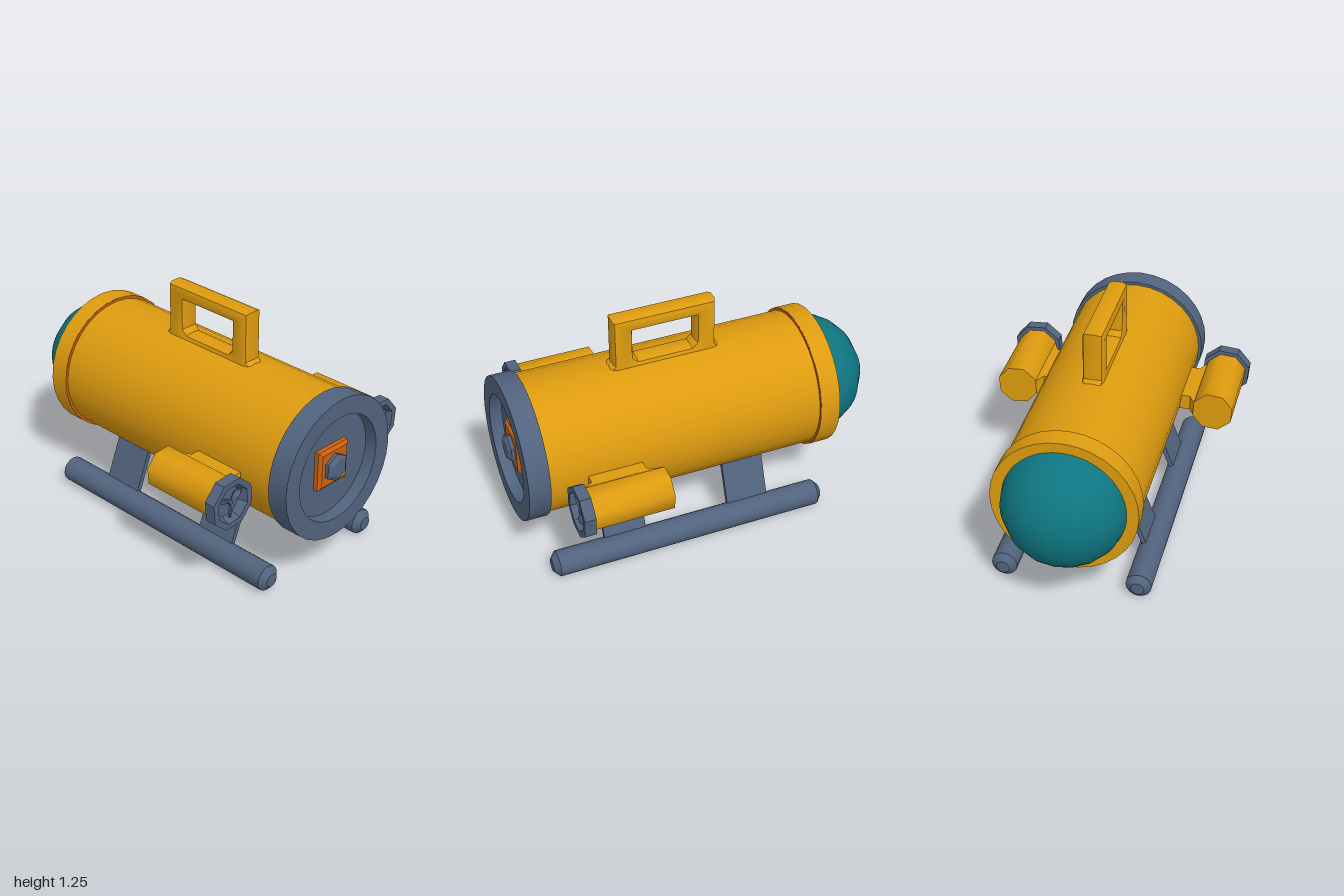
import * as THREE from 'three';
import { toCreasedNormals } from 'three/addons/utils/BufferGeometryUtils.js';

const mat = (name, color) => {
  const m = new THREE.MeshStandardMaterial({ color });
  m.name = name;
  return m;
};

// Solid turned around the x axis from [x, radius] points, with sharp edges kept
function turned(points, sides, phase = 0, crease = 0.5) {
  const g = new THREE.LatheGeometry(points.map(([x, r]) => new THREE.Vector2(r, x)), sides, phase);
  g.rotateZ(-Math.PI / 2);
  return toCreasedNormals(g, crease);
}

const polygon = (pts) => new THREE.Shape(pts.map(([x, y]) => new THREE.Vector2(x, y)));

export function createModel() {
  const model = new THREE.Group();
  model.name = 'submarine';
  const yellow = mat('hullYellow', 0xdd9b0f);
  const slate = mat('slateMetal', 0x51637e);
  const teal = mat('tealGlass', 0x0e7681);
  const orange = mat('hatchOrange', 0xcb620f);

  const add = (name, geometry, material, x = 0, y = 0, z = 0, parent = model) => {
    const mesh = new THREE.Mesh(geometry, material);
    mesh.name = name;
    mesh.position.set(x, y, z);
    parent.add(mesh);
    return mesh;
  };
  const axisY = 0.607;

  // Hull, window collar and dome
  add('hull', turned([[-0.65, 0], [-0.65, 0.367], [0.89, 0.367], [0.89, 0]], 32), yellow, 0, axisY);
  add('windowCollar', turned([[-0.72, 0], [-0.72, 0.382], [-0.612, 0.382], [-0.612, 0.36]], 32), yellow, 0, axisY);
  add('collarSeal', turned([[-0.612, 0.36], [-0.612, 0.381], [-0.609, 0.381], [-0.609, 0.36]], 32), orange, 0, axisY);
  add('domeWindow', new THREE.SphereGeometry(0.33, 16, 32), teal, -0.67, axisY);

  // Recessed rear cap with hatch plate and bolt
  add('rearCap', turned([[0.88, 0], [0.88, 0.384], [0.995, 0.384], [0.995, 0.287],
    [0.93, 0.285], [0.93, 0]], 32), slate, 0, axisY);
  add('hatchPlate', turned([[0.92, 0], [0.92, 0.152], [0.953, 0.152], [0.967, 0.128], [0.967, 0]],
    4, Math.PI / 4), orange, 0, axisY);
  const bolt = add('hatchBolt', turned([[0.95, 0], [0.95, 0.077], [0.985, 0.077], [1, 0.052], [1, 0]], 6),
    slate, 0, axisY);
  bolt.rotation.x = Math.PI / 2;

  // Carrying handle: a bevelled frame with feet flared into the hull
  const frame = polygon([[-0.17, 0.94], [0.435, 0.94], [0.435, 0.965], [0.41, 0.99],
    [0.41, 1.255], [-0.145, 1.255], [-0.145, 0.99], [-0.17, 0.965]]);
  frame.holes.push(polygon([[-0.04, 1.02], [-0.04, 1.18], [0.305, 1.18], [0.305, 1.02],
    [0.28, 0.995], [-0.015, 0.995]]));
  const handle = new THREE.ExtrudeGeometry(frame, {
    depth: 0.056, bevelEnabled: true, bevelThickness: 0.028, bevelSize: 0.028,
    bevelOffset: -0.028, bevelSegments: 2,
  });
  handle.translate(0, 0, -0.028);
  add('handle', toCreasedNormals(handle, 0.7), yellow);

  for (const s of [1, -1]) {
    const side = s > 0 ? 'left' : 'right';

    // Landing skid and its two splayed legs
    add(side + 'Skid', turned([[-0.63, 0], [-0.63, 0.035], [-0.6, 0.069], [0.87, 0.069],
      [0.9, 0.035], [0.9, 0]], 16), slate, 0, 0.07, s * 0.36);
    for (const x of [-0.215, 0.485]) {
      const leg = add(side + 'Leg', new THREE.BoxGeometry(0.23, 0.28, 0.025), slate, x, 0.225, s * 0.288);
      leg.rotation.x = -s * 0.376;
    }

    // Thruster group, centred on its own axis
    const thruster = new THREE.Group();
    thruster.name = side + 'Thruster';
    thruster.position.set(0, 0.563, s * 0.55);
    model.add(thruster);
    const pod = new THREE.Group();
    pod.name = side + 'ThrusterPod';
    pod.rotation.x = s * 0.08;
    thruster.add(pod);
    const oct = Math.PI / 8;
    add('nacelle', turned([[0.33, 0], [0.33, 0.114], [0.76, 0.114], [0.76, 0]], 8, oct, 0.9),
      yellow, 0, 0, 0, pod);
    add('shroud', turned([[0.75, 0], [0.75, 0.137], [0.81, 0.137], [0.81, 0.105],
      [0.765, 0.085], [0.765, 0]], 8, oct), slate, 0, 0, 0, pod);

    // Three-bladed propeller
    for (let i = 0; i < 3; i++) {
      const leaf = new THREE.Shape();
      leaf.moveTo(0, -0.01);
      leaf.quadraticCurveTo(0.034, -0.06, 0, -0.086);
      leaf.quadraticCurveTo(-0.034, -0.06, 0, -0.01);
      const g = new THREE.ExtrudeGeometry(leaf, { depth: 0.008, bevelEnabled: false, curveSegments: 5 });
      g.rotateY(Math.PI / 2 + 0.45);
      const blade = add('propellerBlade', g, slate, 0.783, 0, 0, thruster);
      blade.rotation.x = (i * Math.PI * 2) / 3;
    }
    add('propellerHub', turned([[0.76, 0], [0.76, 0.012], [0.795, 0.012], [0.8, 0]], 8),
      slate, 0, 0, 0, thruster);

    // Bracket from hull to thruster, flared at the outer end
    const bracket = new THREE.ExtrudeGeometry(
      polygon([[0.39, 0.33], [0.68, 0.33], [0.68, 0.415], [0.74, 0.445], [0.74, 0.48],
        [0.335, 0.48], [0.335, 0.445], [0.39, 0.415]]),
      { depth: 0.085, bevelEnabled: false });
    bracket.translate(0, 0, -0.0425);
    bracket.rotateX(s * Math.PI / 2);
    add(side + 'Bracket', bracket, yellow, 0, 0.563, 0);
  }
  return model;
}
